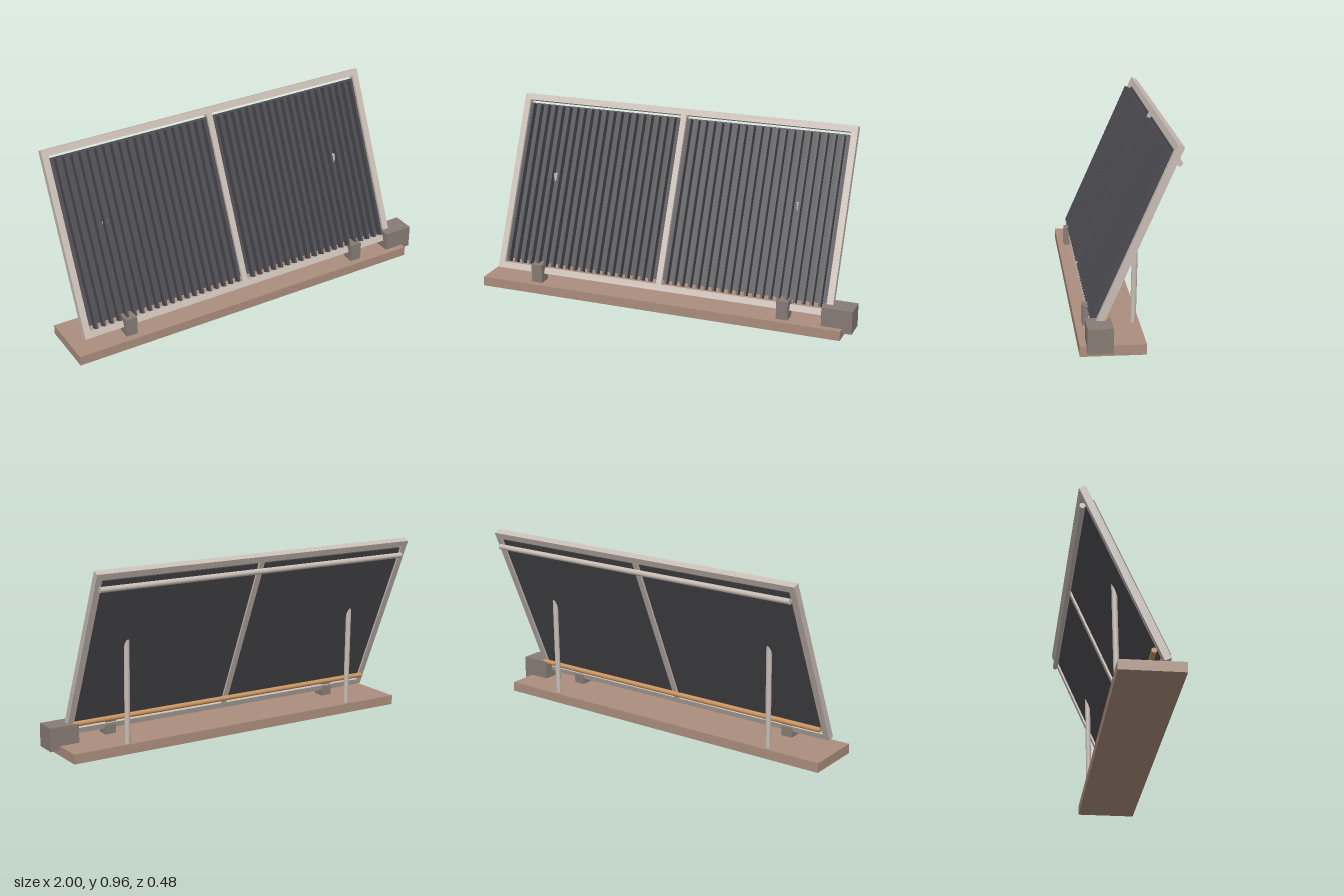
import * as THREE from 'three';

const mat = (name, color) => {
  const m = new THREE.MeshStandardMaterial({ color });
  m.name = name;
  return m;
};

export function createModel() {
  const wood = mat('brown base', 0xac8e7d);
  const metal = mat('pale metal', 0xc8bdb4);
  const grey = mat('warm grey', 0x877c75);
  const dark = mat('charcoal', 0x4b4b50);
  const copper = mat('copper', 0xc8935f);

  const model = new THREE.Group();
  model.name = 'tiltedCollector';

  const add = (parent, name, geometry, material) => {
    const m = new THREE.Mesh(geometry, material);
    m.name = name;
    parent.add(m);
    return m;
  };
  // Box given by its lower and upper corner
  const box = (parent, name, material, [x0, y0, z0], [x1, y1, z1]) => {
    const m = add(parent, name, new THREE.BoxGeometry(x1 - x0, y1 - y0, z1 - z0), material);
    m.position.set((x0 + x1) / 2, (y0 + y1) / 2, (z0 + z1) / 2);
    return m;
  };
  // Round bar between two points
  const rod = (parent, name, material, a, b, r) => {
    const p = new THREE.Vector3(...a), q = new THREE.Vector3(...b);
    const d = q.clone().sub(p);
    const m = add(parent, name, new THREE.CylinderGeometry(r, r, d.length(), 24), material);
    m.position.copy(p).add(q).multiplyScalar(0.5);
    m.quaternion.setFromUnitVectors(new THREE.Vector3(0, 1, 0), d.normalize());
    return m;
  };

  // Base, control box, front feet and rear legs
  box(model, 'base', wood, [-1, 0, -0.066], [0.95, 0.05, 0.24]);
  box(model, 'controlBox', grey, [0.845, 0.028, 0.09], [1, 0.147, 0.208]);
  for (const x of [-0.7, 0.645]) {
    box(model, 'frontFoot', grey, [x - 0.03, 0.05, 0.14], [x + 0.03, 0.147, 0.206]);
    rod(model, 'rearLeg', metal, [x, 0.05, -0.036], [x, 0.58, -0.0475], 0.014);
  }

  // Pipes along the back
  rod(model, 'upperPipe', metal, [-0.91, 0.868, -0.217], [0.87, 0.868, -0.217], 0.014);
  rod(model, 'lowerPipe', copper, [-0.91, 0.143, 0.107], [0.87, 0.143, 0.107], 0.013);

  // Tilted panel, built upright and then leaned back
  const panel = new THREE.Group();
  panel.name = 'panel';
  panel.position.set(-0.025, 0.519, -0.028);
  panel.rotation.x = -0.42;
  model.add(panel);

  // Frame outline with one opening for each half
  const W = 0.915, H = 0.473, bar = 0.033, depth = 0.035, mid = 0.015;
  const rect = (Type, x0, y0, x1, y1) => new Type([
    new THREE.Vector2(x0, y0), new THREE.Vector2(x1, y0),
    new THREE.Vector2(x1, y1), new THREE.Vector2(x0, y1),
  ]);
  const outline = rect(THREE.Shape, -W, -H, W, H);
  outline.holes.push(
    rect(THREE.Path, -W + bar, -H + bar, -mid, H - bar),
    rect(THREE.Path, mid, -H + bar, W - bar, H - bar),
  );
  const frameGeo = new THREE.ExtrudeGeometry(outline, { depth, bevelEnabled: false });
  frameGeo.translate(0, 0, -depth / 2);
  add(panel, 'frame', frameGeo, metal);

  // Dark plates with upright fins
  const fins = 20, inset = 0.03;
  for (const side of [-1, 1]) {
    const x0 = side < 0 ? -W + bar : mid;
    const x1 = side < 0 ? -mid : W - bar;
    box(panel, 'absorberPlate', dark, [x0, -0.416, -0.007], [x1, 0.427, 0.003]);
    for (let i = 0; i < fins; i++) {
      const x = x0 + inset + (i / (fins - 1)) * (x1 - x0 - 2 * inset);
      box(panel, 'fin', dark, [x - 0.006, -0.433, 0.003], [x + 0.006, 0.419, 0.0405]);
    }
  }
  return model;
}
